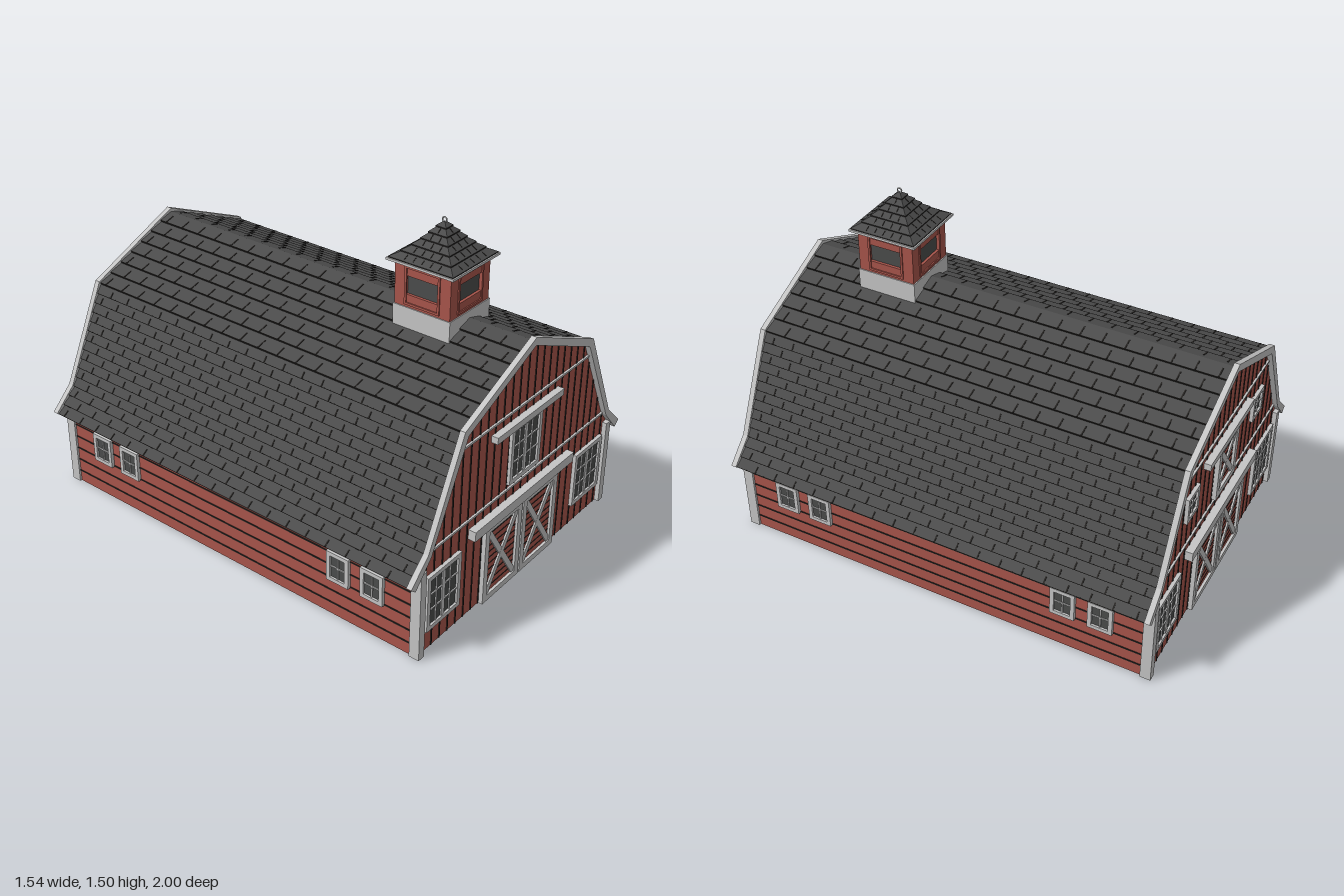
import * as THREE from 'three';
import { mergeGeometries } from 'three/addons/utils/BufferGeometryUtils.js';

const mat = (name, color) => {
  const m = new THREE.MeshStandardMaterial({ color });
  m.name = name;
  return m;
};

export function createModel() {
  const red = mat('barnRed', 0xa9554b), trim = mat('trimGrey', 0xc6c6c6);
  const slate = mat('roofSlate', 0x4c4c4c), dark = mat('grooveDark', 0x262422);
  const glass = mat('glassGrey', 0x4b4d4c);
  const root = new THREE.Group();
  root.name = 'barn';

  const WALL_X = 0.69, WALL_Z = 0.965;
  // right half of the gambrel: trim outside, trim inside, shingle base
  const outer = [[0, 1.12], [0.46, 0.92], [0.665, 0.485], [0.768, 0.385]];
  const inner = [[0, 1.085], [0.435, 0.893], [0.645, 0.465], [0.74, 0.36]];
  const deck = [[0, 1.103], [0.45, 0.906], [0.653, 0.476], [0.753, 0.374]];

  const box = (w, h, d, x = 0, y = 0, z = 0, rotZ = 0) =>
    new THREE.BoxGeometry(w, h, d).rotateZ(rotZ).translate(x, y, z);
  const part = (parent, name, material, geoms) => {
    const list = [geoms].flat();
    const mesh = new THREE.Mesh(list.length > 1 ? mergeGeometries(list) : list[0], material);
    mesh.name = name;
    parent.add(mesh);
    return mesh;
  };
  const group = (parent, name, x = 0, y = 0, z = 0, rotY = 0) => {
    const g = new THREE.Group();
    g.name = name;
    g.position.set(x, y, z);
    g.rotation.y = rotY;
    parent.add(g);
    return g;
  };
  const extrude = (pts, depth, z) =>
    new THREE.ExtrudeGeometry(new THREE.Shape(pts.map(p => new THREE.Vector2(p[0], p[1]))),
      { depth, bevelEnabled: false }).translate(0, 0, z);
  const flip = pts => pts.map(([x, y]) => [-x, y]);
  // closed band between two mirrored half profiles
  const band = (top, bottom) => [...top, ...bottom.slice().reverse(),
    ...flip(bottom.slice(1)), ...flip(top.slice(1)).reverse()];
  // four bars around a rectangle centred on the origin
  const frame = (w, h, b, d) => [
    ...[-1, 1].map(s => box(b, h, d, s * (w - b) / 2, 0, d / 2)),
    ...[-1, 1].map(s => box(w - 2 * b, b, d, 0, s * (h - b) / 2, d / 2))];

  // wall body
  const half = [[WALL_X, 0], [WALL_X, 0.425], [0.648, 0.47], [0.44, 0.897], [0, 1.09]];
  part(root, 'walls', red, extrude([...half, ...flip(half.slice(0, -1)).reverse()], 2 * WALL_Z, -WALL_Z));

  // shingled roof: sawtooth courses, dark butt edges and staggered joints
  const teeth = [deck[0]], butts = [], joints = [], LIFT = 0.009;
  let row = 0;
  [7, 11, 3].forEach((n, s) => {
    const [ax, ay] = deck[s], [bx, by] = deck[s + 1];
    const len = Math.hypot(bx - ax, by - ay), ux = (bx - ax) / len, uy = (by - ay) / len;
    const step = len / n, tilt = Math.atan2(uy, ux) + Math.atan2(LIFT, step);
    for (let k = 1; k <= n; k++, row++) {
      const x = ax + ux * step * k, y = ay + uy * step * k;
      teeth.push([x - uy * LIFT, y + ux * LIFT], [x, y]);
      const back = step * 0.35;
      for (const m of [-1, 1]) {
        butts.push(box(0.003, LIFT, 2 * WALL_Z, m * (x - uy * LIFT / 2), y + ux * LIFT / 2, 0, m * Math.atan2(uy, ux)));
        for (let z = -0.93 + (row % 2) * 0.05; z < 0.95; z += 0.1)
          joints.push(box(step * 0.65, 0.003, 0.006, m * (x - ux * back - uy * LIFT * 0.68),
            y - uy * back + ux * LIFT * 0.68, z, m * tilt));
      }
    }
  });
  part(root, 'roof', slate, extrude(band(teeth, inner), 2 * WALL_Z + 0.002, -WALL_Z - 0.001));
  part(root, 'shingleEdges', dark, butts);
  part(root, 'shingleJoints', dark, joints);

  // corner boards
  part(root, 'cornerBoards', trim, [-1, 1].flatMap(x => [-1, 1].map(z =>
    box(0.035, 0.41, 0.047, x * 0.6825, 0.205, z * 0.9625))));

  // window with side-by-side sashes, each split into 2 columns of panes
  function addWindow(parent, name, x, y, w, h, border, sashes, rows) {
    const g = group(parent, name, x, y);
    part(g, 'glass', glass, box(w - border, h - border, 0.006, 0, 0, 0.004));
    const bars = frame(w, h, border, 0.016), iw = w - 2 * border, ih = h - 2 * border;
    for (let i = 1; i < sashes * 2; i++)
      bars.push(box(i % 2 ? 0.006 : border, ih, 0.01, -iw / 2 + iw * i / (sashes * 2), 0, 0.007));
    for (let j = 1; j < rows; j++) bars.push(box(iw, 0.006, 0.01, 0, -ih / 2 + ih * j / rows, 0.007));
    part(g, 'windowFrame', trim, bars);
  }

  // door leaf with cross bracing over horizontal boards
  function addDoor(parent, name, x, y, w, h) {
    const g = group(parent, name, x, y), b = 0.028, iw = w - 2 * b, ih = h - 2 * b;
    part(g, 'doorBoards', red, box(w - b, h - b, 0.01, 0, 0, 0.005));
    const lines = [];
    for (let yy = -ih / 2 + 0.025; yy < ih / 2; yy += 0.03) lines.push(box(iw, 0.005, 0.003, 0, yy, 0.01));
    part(g, 'doorGrooves', dark, lines);
    const a = Math.atan2(ih, iw), L = Math.hypot(iw, ih) - 0.012;
    part(g, 'doorFrame', trim, [...frame(w, h, b, 0.022),
      box(L, 0.026, 0.016, 0, 0, 0.01, a), box(L, 0.026, 0.015, 0, 0, 0.01, -a)]);
  }

  // wall height under the gable trim at a given x
  const gableY = x => {
    const i = x < inner[1][0] ? 0 : x < inner[2][0] ? 1 : 2;
    const [p, q] = [inner[i], inner[i + 1]];
    return p[1] + (q[1] - p[1]) * (x - p[0]) / (q[0] - p[0]);
  };

  // both gable ends
  for (const [name, rot] of [['frontEnd', 0], ['backEnd', Math.PI]]) {
    const g = group(root, name, 0, 0, rot ? -WALL_Z : WALL_Z, rot);
    part(g, 'gableTrim', trim, extrude(band(outer, inner), 0.024, 0));
    const seams = [];
    for (let i = -12; i <= 12; i++) {
      const h = gableY(Math.abs(i) * 0.0538);
      seams.push(box(0.006, h, 0.004, i * 0.0538, h / 2, 0.001));
    }
    part(g, 'boardSeams', dark, seams);
    part(g, 'gableBands', trim, [box(0.93, 0.009, 0.01, 0, 0.83, 0.004), box(1.28, 0.009, 0.01, 0, 0.471, 0.004)]);
    part(g, 'doorRails', trim, [box(0.73, 0.045, 0.034, 0, 0.398, 0.017), box(0.48, 0.03, 0.03, 0, 0.773, 0.015)]);
    for (const s of [-1, 1]) {
      addDoor(g, 'barnDoor', s * 0.136, 0.187, 0.262, 0.37);
      addWindow(g, 'lowerWindow', s * 0.536, 0.23, 0.22, 0.26, 0.02, 2, 3);
      if (rot) addWindow(g, 'loftWindow', s * 0.36, 0.675, 0.115, 0.125, 0.018, 1, 2);
    }
    if (rot) addDoor(g, 'loftDoor', 0, 0.626, 0.215, 0.262);
    else addWindow(g, 'upperWindow', 0, 0.626, 0.22, 0.262, 0.02, 2, 3);
  }

  // long sides with clapboard lines and four small windows
  for (const s of [-1, 1]) {
    const g = group(root, s > 0 ? 'leftSide' : 'rightSide', s * WALL_X, 0, 0, s * Math.PI / 2);
    const lines = [];
    for (let i = 1; i < 7; i++) lines.push(box(1.9, 0.006, 0.004, 0, i * 0.0615 - 0.005, 0.001));
    part(g, 'clapboardLines', dark, lines);
    for (const z of [-0.755, -0.587, 0.587, 0.755])
      addWindow(g, 'sideWindow', z, 0.245, 0.11, 0.14, 0.018, 1, 2);
  }

  // cupola
  const cupola = group(root, 'cupola', 0, 0, 0.545);
  part(cupola, 'cupolaBase', trim, box(0.275, 0.105, 0.275, 0, 1.0825, 0));
  part(cupola, 'cupolaCore', red, box(0.236, 0.19, 0.236, 0, 1.23, 0));
  const frustum = (top, bottom, y0, y1) => {
    const geo = new THREE.CylinderGeometry(top * Math.SQRT2, bottom * Math.SQRT2, y1 - y0, 4)
      .toNonIndexed();
    geo.computeVertexNormals();
    return geo.rotateY(Math.PI / 4).translate(0, (y0 + y1) / 2, 0);
  };
  for (let i = 0; i < 4; i++) {
    const face = group(cupola, 'cupolaFace', 0, 1.23, 0, i * Math.PI / 2);
    part(face, 'cupolaWall', red, frame(0.266, 0.19, 0.055, 0.016).map(b => b.translate(0, 0, 0.117)));
    part(face, 'cupolaBorder', red, frame(0.168, 0.168, 0.01, 0.006).map(b => b.translate(0, 0, 0.132)));
    part(face, 'cupolaGlass', glass, box(0.156, 0.15, 0.004, 0, 0, 0.119));
  }
  part(cupola, 'cupolaEave', trim, box(0.32, 0.01, 0.32, 0, 1.329, 0));

  // concave cupola roof in stepped courses
  const curve = [[0.15, 1.334], [0.116, 1.358], [0.087, 1.382], [0.062, 1.407], [0.041, 1.432], [0.021, 1.456], [0.004, 1.476]];
  const tiles = [], edges = [], gaps = [];
  for (let i = 0; i < curve.length - 1; i++) {
    const [r0, y0] = curve[i], [r1, y1] = curve[i + 1], r = r0 + 0.004;
    edges.push(frustum(r, r, y0 - 0.001, y0 + 0.004));
    tiles.push(frustum(r1, r, y0 + 0.004, y1));
    const slope = Math.atan2(r - r1, y1 - y0 - 0.004);
    for (let x = -0.12 + (i % 2) * 0.02; x < 0.13; x += 0.04)
      if (Math.abs(x) < r1) for (let k = 0; k < 4; k++)
        gaps.push(new THREE.BoxGeometry(0.004, 0.024, 0.003).rotateX(-slope)
          .translate(x, (y0 + y1) / 2 + 0.002, (r + r1) / 2).rotateY(k * Math.PI / 2));
  }
  part(cupola, 'cupolaRoof', slate, tiles);
  part(cupola, 'cupolaRoofEdges', dark, edges);
  part(cupola, 'cupolaRoofJoints', dark, gaps);
  part(cupola, 'finialRing', trim, new THREE.TorusGeometry(0.01, 0.003, 8, 20).rotateY(Math.PI / 2).translate(0, 1.483, 0));
  return root;
}
